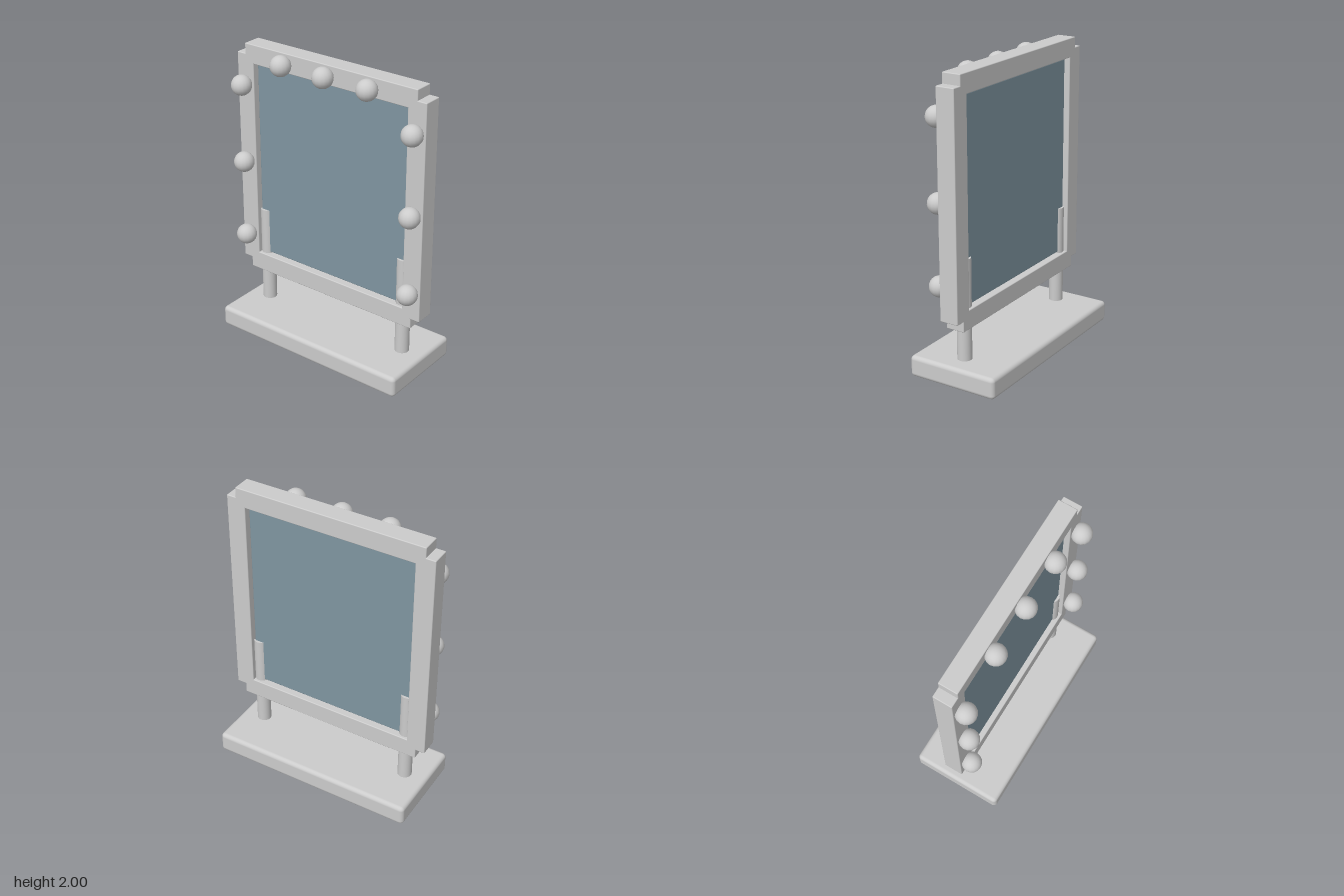
import * as THREE from 'three';
import { RoundedBoxGeometry } from 'three/addons/geometries/RoundedBoxGeometry.js';

export function createModel() {
  const model = new THREE.Group();
  model.name = 'vanityMirror';
  const grey = new THREE.MeshStandardMaterial({ color: 0xcccccc });
  const glassMaterial = new THREE.MeshStandardMaterial({ color: 0x7f95a0 });

  const add = (name, geometry, x, y, z, material = grey) => {
    const mesh = new THREE.Mesh(geometry, material);
    mesh.name = name;
    mesh.position.set(x, y, z);
    model.add(mesh);
  };

  // Heavy base slab with softened edges
  add('base', new RoundedBoxGeometry(1.44, 0.145, 0.635, 3, 0.028), 0, 0.0725, 0);

  // Frame: top and bottom rails, with the side stiles stepped in at the corners
  const rail = new RoundedBoxGeometry(1.325, 0.13, 0.13, 2, 0.006);
  const stile = new RoundedBoxGeometry(0.132, 1.485, 0.13, 2, 0.006);
  add('topRail', rail, 0, 1.935, 0);
  add('bottomRail', rail, 0, 0.44, 0);

  // Mirror panel, leaving a fine gap to the frame
  add('mirrorPanel', new RoundedBoxGeometry(1.178, 1.345, 0.06, 2, 0.006), 0, 1.1875, 0, glassMaterial);

  // Posts run up from the base through the bottom rail and past the panel
  const post = new THREE.CylinderGeometry(0.048, 0.048, 0.69, 24);
  const bulb = new THREE.SphereGeometry(0.069, 16, 12);
  for (const [side, s] of [['left', 1], ['right', -1]]) {
    add(`${side}Stile`, stile, s * 0.662, 1.1875, 0);
    add(`${side}Post`, post, s * 0.562, 0.485, 0);
    // Bulbs up each stile
    for (const y of [0.647, 1.187, 1.727]) add(`${side}Bulb`, bulb, s * 0.662, y, 0.11);
  }

  // Bulbs along the top rail
  for (const x of [-0.332, 0, 0.332]) add('topBulb', bulb, x, 1.931, 0.11);

  return model;
}
